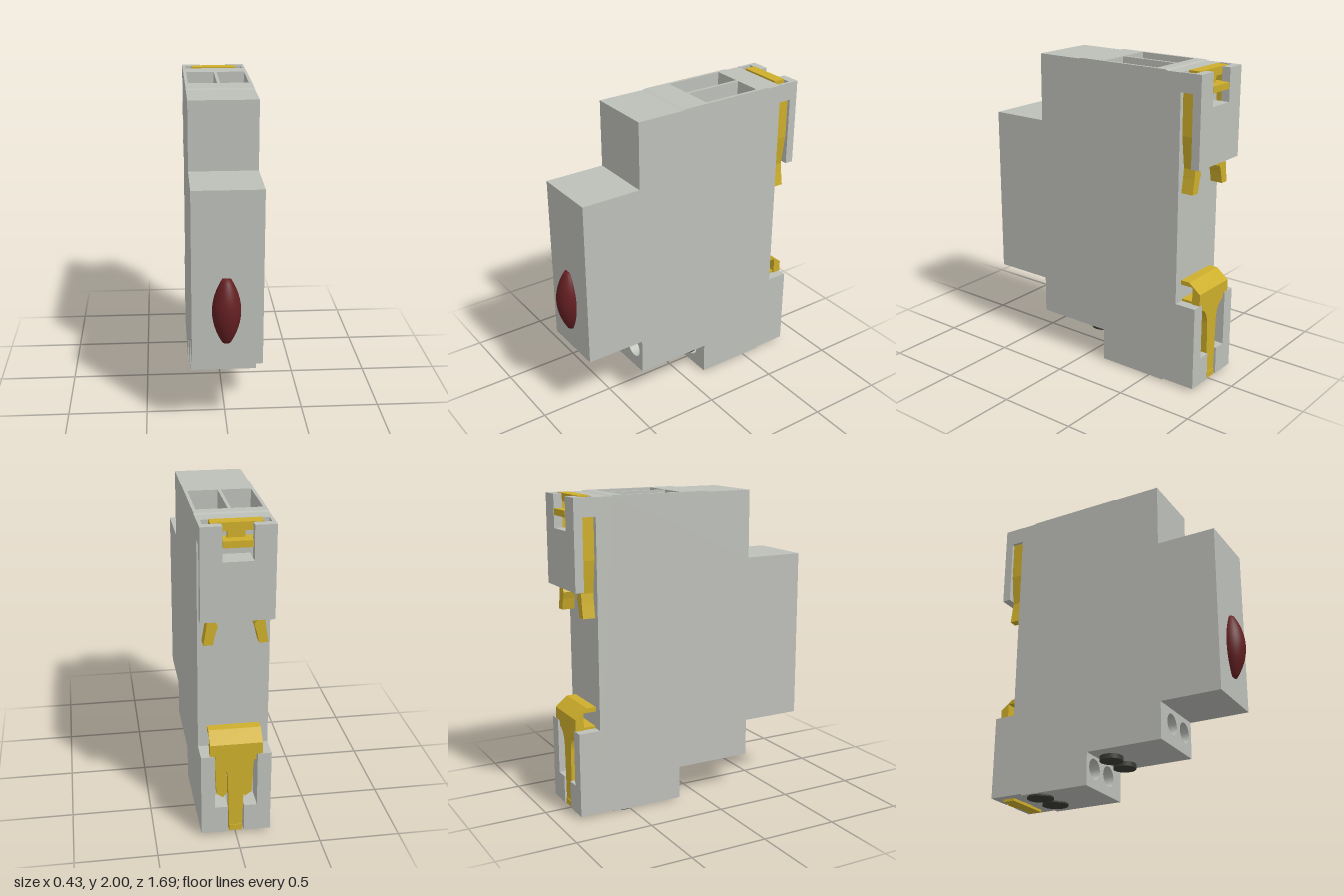
import * as THREE from 'three';

const grey = new THREE.MeshStandardMaterial({ color: 0xbdbfb9 });
grey.name = 'housing grey';
const yellow = new THREE.MeshStandardMaterial({ color: 0xcdae2b });
yellow.name = 'clip yellow';
const red = new THREE.MeshStandardMaterial({ color: 0x641f22 });
red.name = 'lens red';
const dark = new THREE.MeshStandardMaterial({ color: 0x3b3b35 });
dark.name = 'screw dark';

const W = 0.215; // half width of the housing

export function createModel() {
  const model = new THREE.Group();
  const add = (name, geometry, material) => {
    const mesh = new THREE.Mesh(geometry, material);
    mesh.name = name;
    model.add(mesh);
    return mesh;
  };
  const shapeOf = (pts) => new THREE.Shape(pts.map(([a, b]) => new THREE.Vector2(a, b)));
  const extrude = (shape, depth) =>
    new THREE.ExtrudeGeometry(shape, { depth, bevelEnabled: false, curveSegments: 24 });
  // (z, y) profile spanning x0..x1
  const sideways = (name, pts, x0, x1, material) =>
    add(name, extrude(shapeOf(pts), x1 - x0).rotateY(-Math.PI / 2).translate(x1, 0, 0), material);
  // (x, y) outline spanning z0..z1
  const facing = (name, shape, z0, z1, material) =>
    add(name, extrude(shape, z1 - z0).translate(0, 0, z0), material);
  const box = (name, x0, x1, y0, y1, z0, z1, material) =>
    add(name, new THREE.BoxGeometry(x1 - x0, y1 - y0, z1 - z0)
      .translate((x0 + x1) / 2, (y0 + y1) / 2, (z0 + z1) / 2), material);
  const mirror = (pts, s) => pts.map(([x, y]) => [x * s, y]);

  // Stepped housing, in slices across x so that two wire pockets open in the top
  const pocket = [[-0.135, 2], [-0.135, 1.68], [-0.525, 1.68], [-0.525, 2]];
  const profile = (cut) => [
    [-0.705, 0.02], [-0.62, 0.02], [-0.62, 0.01], [-0.345, 0.01], [-0.345, 0.22], [0.16, 0.22],
    [0.16, 0.46], [0.76, 0.46], [0.76, 1.56], [0.365, 1.56], [0.365, 1.994],
    [0.055, 1.994], [0.035, 2], ...cut, [-0.595, 2], [-0.61, 1.994], [-0.705, 1.994],
  ];
  [[-W, -0.195], [-0.195, -0.01, true], [-0.01, 0.01], [0.01, 0.195, true], [0.195, W]]
    .forEach(([a, b, open]) => sideways('housing', profile(open ? pocket : []), a, b, grey));

  // Terminal blocks with bored screw holes, front screws and lower screws
  const terminals = [
    { y0: 0.22, y1: 0.46, z: 0.365, depth: 0.205, xs: [-0.06, 0.116], hy: 0.362,
      sz: -0.058, sr: 0.074, s0: 0.19 },
    { y0: 0.01, y1: 0.22, z: -0.145, depth: 0.2, xs: [-0.118, 0.057], hy: 0.137,
      sz: -0.535, sr: 0.085, s0: 0 },
  ];
  for (const t of terminals) {
    const face = shapeOf([[-W, t.y0], [W, t.y0], [W, t.y1], [-W, t.y1]]);
    for (const x of t.xs) {
      const hole = new THREE.Path();
      hole.absarc(x, t.hy, 0.066, 0, Math.PI * 2, true);
      face.holes.push(hole);
      add('terminalScrew', new THREE.CylinderGeometry(0.066, 0.066, 0.04, 28)
        .rotateX(Math.PI / 2).translate(x, t.hy, t.z - t.depth + 0.025), dark);
      add('lowerScrew', new THREE.CylinderGeometry(t.sr, t.sr, 0.06, 28)
        .translate(x, t.s0 + 0.03, t.sz), dark);
    }
    facing('terminalBlock', face, t.z - t.depth, t.z, grey);
  }

  // Barrel-shaped signal lens, half sunk in the front
  const lens = [new THREE.Vector2(0, -0.205)];
  for (let i = 0; i <= 20; i++) {
    const t = i / 10 - 1;
    lens.push(new THREE.Vector2(0.026 + 0.061 * (1 - t * t), 0.205 * t));
  }
  lens.push(new THREE.Vector2(0, 0.205));
  add('signalLens', new THREE.LatheGeometry(lens, 40).translate(-0.007, 0.815, 0.758), red);

  // Upper rear plate with a notch, held by a web and side walls
  facing('upperRearPlate', shapeOf([
    [-W, 1.435], [W, 1.435], [W, 1.996], [0.09, 1.996], [0.09, 1.79],
    [-0.09, 1.79], [-0.09, 1.996], [-W, 1.996],
  ]), -0.845, -0.79, grey);
  box('upperWeb', -0.09, 0.09, 1.45, 1.79, -0.79, -0.705, grey);

  // Upper clip: bar, release tab and two springy legs
  box('upperClipBar', -0.15, 0.15, 1.95, 2, -0.79, -0.715, yellow);
  box('upperClipBridge', -0.15, 0.15, 1.86, 1.9, -0.785, -0.715, yellow);
  box('upperClipNeck', -0.05, 0.05, 1.9, 1.95, -0.775, -0.73, yellow);
  box('upperClipTab', -0.085, 0.085, 1.87, 1.91, -0.845, -0.78, yellow);
  const leg = [
    [0.195, 1.97], [0.14, 1.97], [0.14, 1.88], [0.165, 1.84], [0.165, 1.62], [0.135, 1.44],
    [0.105, 1.385], [0.12, 1.34], [0.135, 1.27], [0.19, 1.27], [0.175, 1.36], [0.168, 1.42],
    [0.195, 1.62],
  ];

  // Lower rear pillars around the slot for the lower clip
  const pillar = [[0.05, 0.02], [W, 0.02], [W, 0.56], [0.13, 0.56], [0.13, 0.2], [0.05, 0.2]];
  const wing = [[0.125, 0.56], [0.06, 0.56], [0.04, 0.26], [0.07, 0.22], [0.11, 0.25]];
  for (const s of [-1, 1]) {
    const [a, b] = s > 0 ? [0.195, W] : [-W, -0.195];
    box('upperSideWall', a, b, 1.88, 1.996, -0.79, -0.705, grey);
    facing('upperClipLeg', shapeOf(mirror(leg, s)), -0.79, -0.71, yellow);
    facing('lowerRearPillar', shapeOf(mirror(pillar, s)), -0.845, -0.705, grey);
    facing('lowerClipWing', shapeOf(mirror(wing, s)), -0.77, -0.74, yellow);
  }

  // Lower clip: hooked head, tapering stem and foot bar
  sideways('lowerClipHead', [
    [-0.845, 0.562], [-0.79, 0.562], [-0.79, 0.672], [-0.705, 0.672], [-0.705, 0.7],
    [-0.765, 0.7], [-0.845, 0.637],
  ], -0.16, 0.16, yellow);
  box('lowerClipShelf', -0.15, 0.15, 0.56, 0.575, -0.79, -0.708, yellow);
  const stem = new THREE.Shape();
  stem.moveTo(-0.04, 0.03);
  stem.lineTo(0.04, 0.03);
  stem.lineTo(0.05, 0.4);
  stem.quadraticCurveTo(0.055, 0.5, 0.125, 0.52);
  stem.lineTo(0.125, 0.57);
  stem.lineTo(-0.125, 0.57);
  stem.lineTo(-0.125, 0.52);
  stem.quadraticCurveTo(-0.055, 0.5, -0.05, 0.4);
  facing('lowerClipStem', stem, -0.835, -0.79, yellow);
  box('lowerClipFoot', -0.04, 0.04, 0.02, 0.06, -0.84, -0.72, yellow);
  box('lowerClipFootBar', -0.16, 0.16, 0.003, 0.025, -0.79, -0.71, yellow);

  return model;
}
